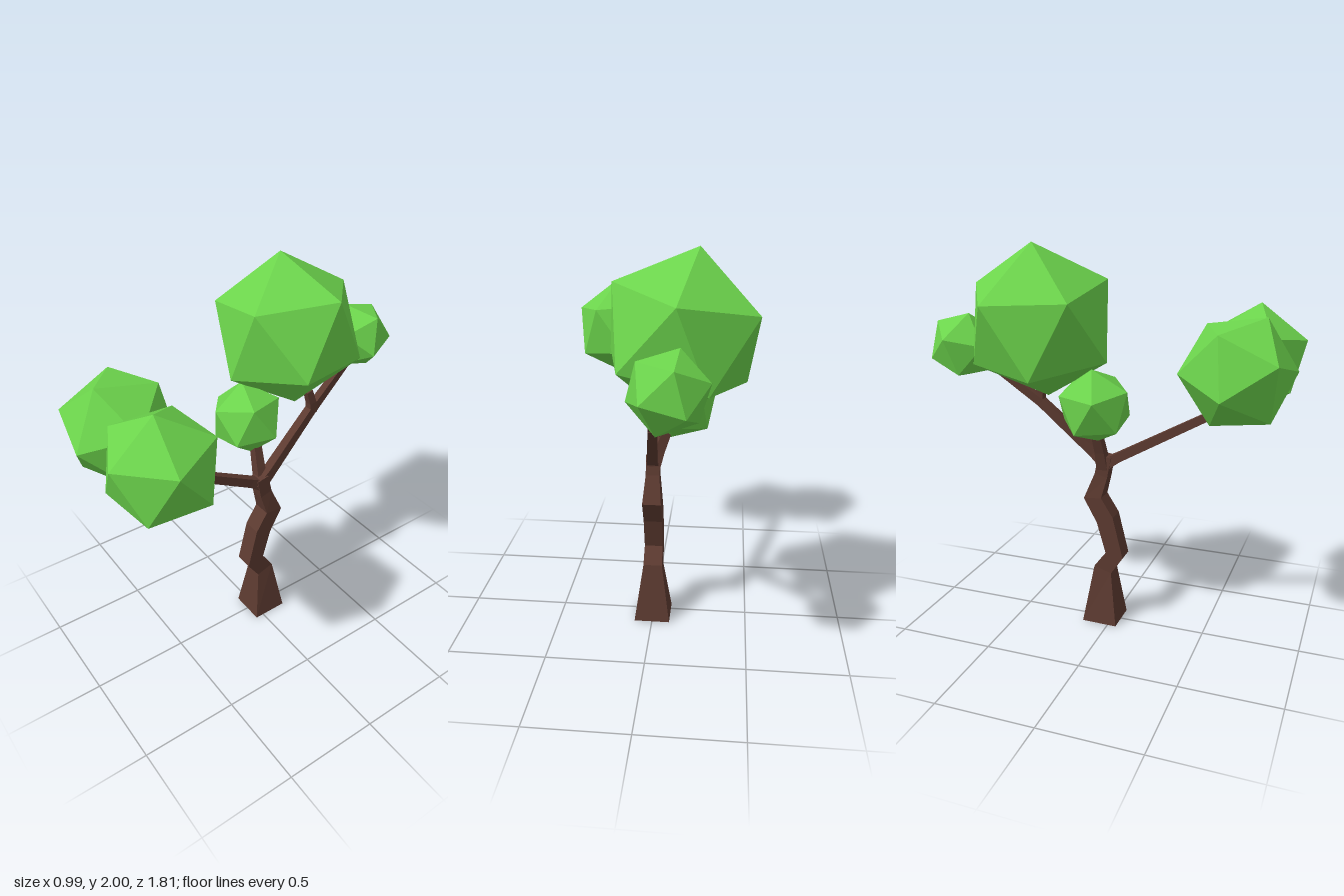
import * as THREE from 'three';

const bark = new THREE.MeshStandardMaterial({ color: 0x5c3a30, flatShading: true });
const leaf = new THREE.MeshStandardMaterial({ color: 0x6cd44c, flatShading: true });
const V = (p) => new THREE.Vector3(p[0], p[1], p[2]);

// Square-section limb through points [x, y, z, half width]
function limb(name, points) {
  const centres = points.map(V);
  const last = points.length - 1;
  const pos = [], index = [];
  centres.forEach((c, k) => {
    const t = new THREE.Vector3();
    if (k > 0) t.add(c.clone().sub(centres[k - 1]).normalize());
    if (k < last) t.add(centres[k + 1].clone().sub(c).normalize());
    t.normalize();
    const s = new THREE.Vector3(1, 0, 0).addScaledVector(t, -t.x).normalize();
    const n = t.clone().cross(s);
    const h = points[k][3];
    for (const [u, v] of [[1, 1], [-1, 1], [-1, -1], [1, -1]]) {
      pos.push(...c.clone().addScaledVector(s, u * h).addScaledVector(n, v * h).toArray());
    }
    if (k === last) return;
    for (let i = 0; i < 4; i++) {
      const a = k * 4 + i, b = k * 4 + (i + 1) % 4;
      index.push(a, b, b + 4, a, b + 4, a + 4);
    }
  });
  const e = last * 4;
  index.push(0, 2, 1, 0, 3, 2, e, e + 1, e + 2, e, e + 2, e + 3);
  let geo = new THREE.BufferGeometry();
  geo.setAttribute('position', new THREE.Float32BufferAttribute(pos, 3));
  geo.setIndex(index);
  geo = geo.toNonIndexed();
  geo.computeVertexNormals();
  const mesh = new THREE.Mesh(geo, bark);
  mesh.name = name;
  return mesh;
}

// Orthonormal frame from two neighbouring corner directions
function frame(a, b) {
  const x = a.clone().normalize();
  const y = b.clone().addScaledVector(x, -b.dot(x)).normalize();
  return new THREE.Matrix4().makeBasis(x, y, x.clone().cross(y));
}

// Icosahedral leaf clump, turned so two adjacent corners point along a and b
const PHI = (1 + Math.sqrt(5)) / 2;
const cornerFrame = frame(V([-1, PHI, 0]), V([-PHI, 0, 1])).invert();
function clump(name, centre, radius, a, b) {
  const geo = new THREE.IcosahedronGeometry(radius, 0);
  geo.applyMatrix4(frame(V(a), V(b)).multiply(cornerFrame));
  const mesh = new THREE.Mesh(geo, leaf);
  mesh.name = name;
  mesh.position.set(...centre);
  return mesh;
}

export function createModel() {
  const tree = new THREE.Group();
  tree.name = 'tree';

  // Crooked trunk and its branches
  tree.add(
    limb('trunk', [
      [0, 0, -0.047, 0.093], [0, 0.3, -0.042, 0.049], [0, 0.39, 0.022, 0.048],
      [0, 0.585, -0.03, 0.048], [0, 0.7, -0.098, 0.048], [0, 0.825, -0.055, 0.035],
      [0, 0.93, -0.035, 0.034]]),
    limb('frontBranch', [
      [0, 0.87, -0.06, 0.032], [0.003, 0.925, 0.03, 0.024], [0.01, 1.2, 0.52, 0.02],
      [0.03, 1.225, 0.55, 0.019]]),
    limb('frontTwig', [[0.02, 1.205, 0.53, 0.019], [0.06, 1.27, 0.52, 0.018], [0.1, 1.36, 0.5, 0.016]]),
    limb('backBranch', [
      [0, 0.87, -0.02, 0.032], [0, 0.94, -0.1, 0.026], [-0.03, 1.19, -0.38, 0.022],
      [-0.07, 1.4, -0.67, 0.017]]),
    limb('backTwig', [[-0.03, 1.18, -0.39, 0.021], [-0.03, 1.24, -0.385, 0.02], [-0.035, 1.31, -0.365, 0.018]]),
    limb('middleBranch', [[0, 0.84, -0.05, 0.03], [-0.035, 0.96, -0.055, 0.025], [-0.08, 1.09, -0.065, 0.022]]),
  );

  // Leaf clumps
  tree.add(
    clump('crownFoliage', [-0.155, 1.62, -0.318], 0.386, [-0.075, 0.38, 0], [0.3, 0.23, -0.07]),
    clump('frontLeftFoliage', [0.237, 1.435, 0.65], 0.275, [0.025, 0.274, 0.025], [0.253, 0.095, 0.05]),
    clump('frontRightFoliage', [-0.13, 1.435, 0.648], 0.278, [0.04, 0.26, 0.12], [-0.19, 0.2, -0.06]),
    clump('middleFoliage', [-0.13, 1.22, -0.048], 0.194, [-0.04, 0.185, 0], [-0.185, 0.04, 0.055]),
    clump('backFoliage', [-0.128, 1.478, -0.753], 0.184, [-0.176, 0.05, -0.024], [-0.045, 0.122, -0.13]),
  );
  return tree;
}
